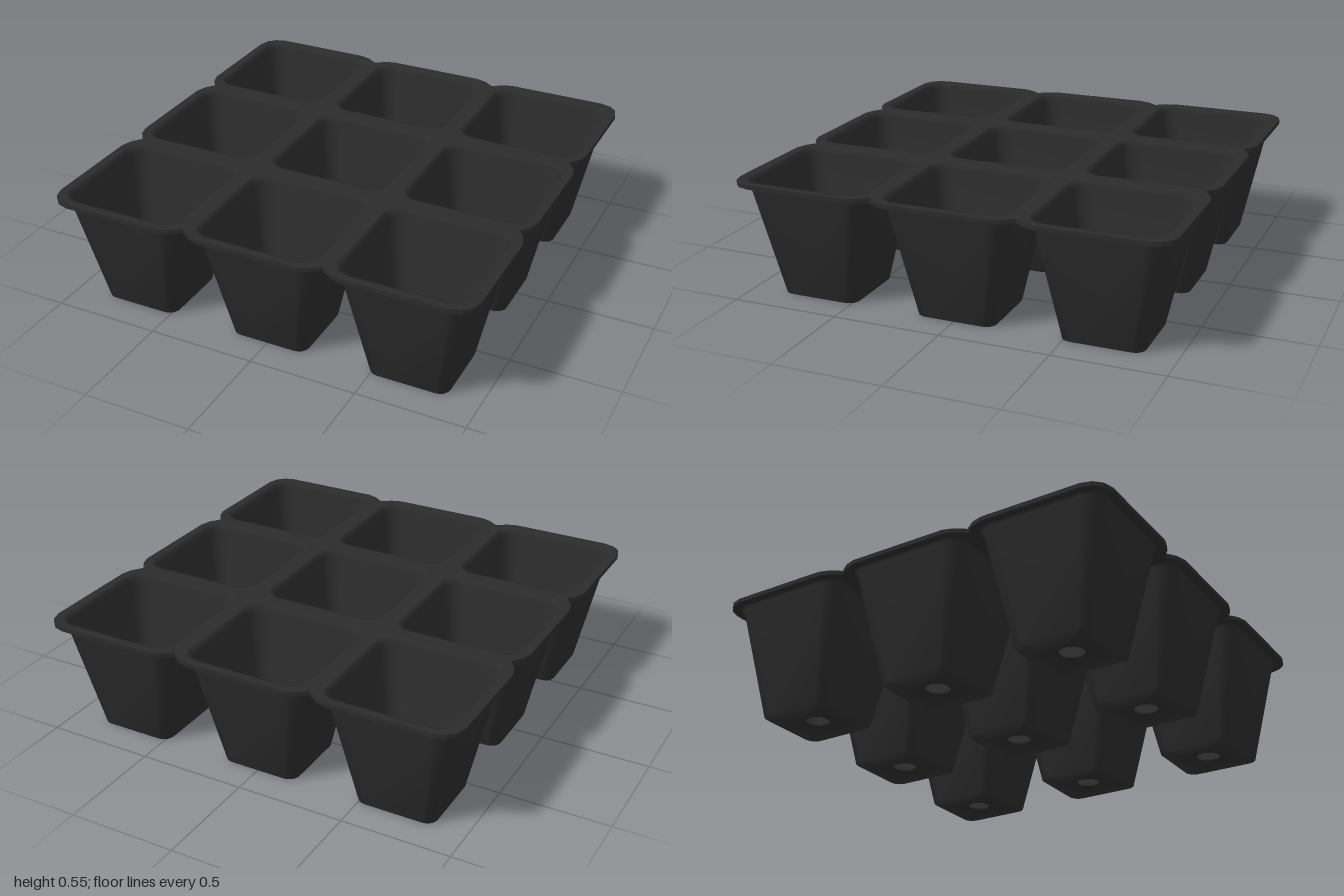
import * as THREE from 'three';

const PITCH = 2 / 3;
const TOP = 0.55, UNDER = 0.53;
const CORNER_STEPS = 5;

// Rounded square outline as [x, z] points, counter-clockwise
function roundedSquare(half, radius) {
  const points = [];
  const inset = half - radius;
  for (let c = 0; c < 4; c++) {
    const mid = Math.PI / 4 + c * Math.PI / 2;
    const cx = Math.sign(Math.cos(mid)) * inset;
    const cz = Math.sign(Math.sin(mid)) * inset;
    for (let i = 0; i <= CORNER_STEPS; i++) {
      const a = (c + i / CORNER_STEPS) * Math.PI / 2;
      points.push([cx + Math.cos(a) * radius, cz + Math.sin(a) * radius]);
    }
  }
  return points;
}

// Thin-walled tapered pot: one skin running down the inside, through the hole, and up the outside
function potGeometry() {
  const rings = [ // half width, height, corner radius
    [0.30, TOP, 0.085],
    [0.288, 0.547, 0.08],
    [0.278, 0.525, 0.075],
    [0.174, 0.012, 0.05],
    [0.055, 0.012, 0.052], // drain hole
    [0.055, 0, 0.052],
    [0.184, 0, 0.05],
    [0.287, 0.525, 0.08],
    [0.302, UNDER, 0.087],
  ];
  const positions = [], index = [];
  for (const [half, y, radius] of rings) {
    for (const [x, z] of roundedSquare(half, radius)) positions.push(x, y, z);
  }
  const n = 4 * (CORNER_STEPS + 1);
  for (let i = 0; i < rings.length - 1; i++) {
    for (let j = 0; j < n; j++) {
      const a = i * n + j, b = i * n + (j + 1) % n;
      index.push(a, a + n, b, b, a + n, b + n);
    }
  }
  const geometry = new THREE.BufferGeometry();
  geometry.setAttribute('position', new THREE.Float32BufferAttribute(positions, 3));
  geometry.setIndex(index);
  geometry.computeVertexNormals();
  return geometry;
}

// Flat top sheet with scalloped edge and nine openings
function rimGeometry() {
  const outline = [];
  for (let side = 0; side < 4; side++) {
    const edge = [];
    for (let k = -1; k <= 1; k++) {
      const c = k * PITCH;
      if (k > -1) edge.push([c - PITCH / 2, 0.95]); // notch between cells
      edge.push([c - 0.285, 0.985], [c - 0.235, 1], [c + 0.235, 1], [c + 0.285, 0.985]);
    }
    const a = -side * Math.PI / 2;
    for (const [x, y] of edge) {
      outline.push(new THREE.Vector2(x, y).rotateAround(new THREE.Vector2(), a));
    }
  }
  const shape = new THREE.Shape(outline);
  for (let i = -1; i <= 1; i++) {
    for (let k = -1; k <= 1; k++) {
      shape.holes.push(new THREE.Path(roundedSquare(0.30, 0.085)
        .map(([x, y]) => new THREE.Vector2(x + i * PITCH, y + k * PITCH))));
    }
  }
  const geometry = new THREE.ExtrudeGeometry(shape, { depth: TOP - UNDER, bevelEnabled: false });
  return geometry.rotateX(-Math.PI / 2).translate(0, UNDER, 0);
}

export function createModel() {
  const plastic = new THREE.MeshStandardMaterial({ color: 0x2b2b2b });
  plastic.name = 'black plastic';

  const tray = new THREE.Group();
  tray.name = 'seedlingTray';

  const rim = new THREE.Mesh(rimGeometry(), plastic);
  rim.name = 'rim';
  tray.add(rim);

  // 3 x 3 grid of pots
  const pot = potGeometry();
  for (let row = -1; row <= 1; row++) {
    for (let col = -1; col <= 1; col++) {
      const cell = new THREE.Mesh(pot, plastic);
      cell.name = `pot${row + 2}${col + 2}`;
      cell.position.set(col * PITCH, 0, row * PITCH);
      tray.add(cell);
    }
  }
  return tray;
}
